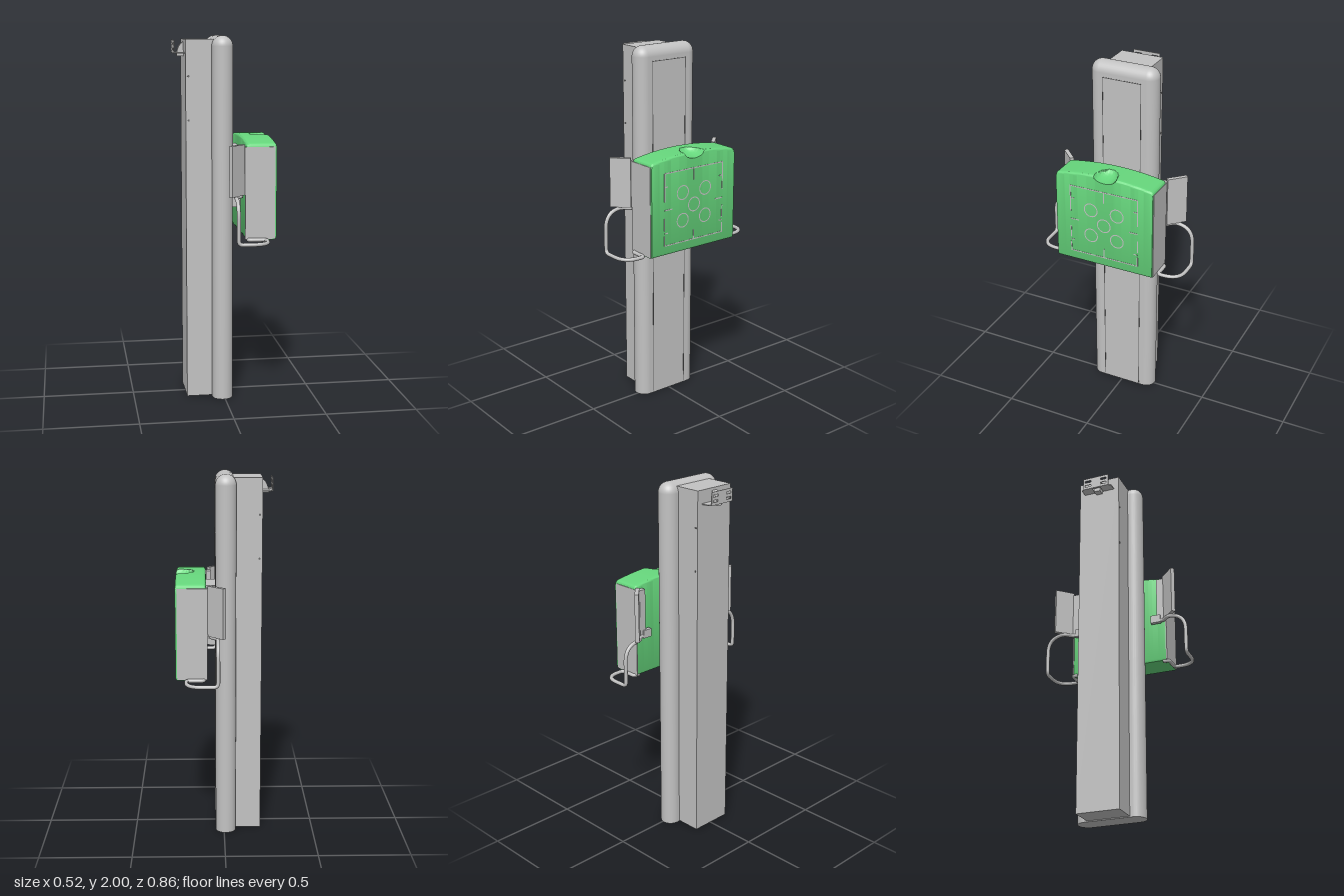
import * as THREE from 'three';
import { toCreasedNormals } from 'three/addons/utils/BufferGeometryUtils.js';

export function createModel() {
  const root = new THREE.Group();
  const mat = (name, color, side = THREE.FrontSide) => {
    const m = new THREE.MeshStandardMaterial({ color, side });
    m.name = name;
    return m;
  };
  const grey = mat('light grey', 0xc2c2c2);
  const sheet = grey;
  const green = mat('green', 0x66d67c);
  const dark = mat('dark grey', 0x666666);

  const add = (name, geo, material, x = 0, y = 0, z = 0) => {
    const m = new THREE.Mesh(geo, material);
    m.name = name;
    m.position.set(x, y, z);
    root.add(m);
    return m;
  };
  // box from its minimum and maximum corners
  const block = (name, material, x0, x1, y0, y1, z0, z1) =>
    add(name, new THREE.BoxGeometry(x1 - x0, y1 - y0, z1 - z0), material,
      (x0 + x1) / 2, (y0 + y1) / 2, (z0 + z1) / 2);

  // Column: rear box and a slab with fully rounded sides and top
  block('columnRear', grey, -0.205, -0.02, 0.005, 1.98, -0.12, 0.12);
  const R = 0.056, CX = -0.009, CZ = 0.135, CY = 2 - R;
  block('columnCore', grey, CX - R, CX + R, 0, CY, -CZ, CZ);
  for (const s of [-1, 1]) {
    add('columnSide', new THREE.CylinderGeometry(R, R, CY, 32), grey, CX, CY / 2, s * CZ);
    add('columnCorner', new THREE.SphereGeometry(R, 32, 20), grey, CX, CY, s * CZ);
  }
  add('columnTop', new THREE.CylinderGeometry(R, R, 2 * CZ, 32), grey, CX, CY, 0).rotation.x = Math.PI / 2;

  // Seams of the front cover and small screws on the rear box
  const fx = CX + R;
  for (const s of [-1, 1]) {
    block('coverSeam', dark, fx - 0.002, fx + 0.001, 0.01, 1.92, s * 0.11 - 0.002, s * 0.11 + 0.002);
    for (const y of [1.55, 1.785]) {
      add('screw', new THREE.CylinderGeometry(0.006, 0.006, 0.003, 12), dark, -0.19, y, s * 0.12).rotation.x = Math.PI / 2;
    }
  }
  block('coverSeamTop', dark, fx - 0.002, fx + 0.001, 1.918, 1.922, -0.11, 0.11);

  // Wall hook at the top of the rear box: shelf with opening, slotted plate, tongue
  const rect = (P, x0, x1, y0, y1) => {
    const p = new P();
    p.moveTo(x0, y0); p.lineTo(x1, y0); p.lineTo(x1, y1); p.lineTo(x0, y1); p.closePath();
    return p;
  };
  const shelf = new THREE.Shape();
  [[-0.2, -0.09], [-0.25, -0.09], [-0.256, -0.077], [-0.262, -0.077],
    [-0.262, 0.077], [-0.256, 0.077], [-0.25, 0.09], [-0.2, 0.09]]
    .forEach(([x, z], i) => (i ? shelf.lineTo(x, z) : shelf.moveTo(x, z)));
  shelf.holes.push(rect(THREE.Path, -0.25, -0.205, -0.024, 0.024));
  add('hookShelf', new THREE.ExtrudeGeometry(shelf, { depth: 0.005, bevelEnabled: false }), sheet, 0, 1.91, 0)
    .rotation.x = Math.PI / 2;
  const plate = rect(THREE.Shape, -0.077, 0.077, 1.905, 1.975);
  for (const s of [-1, 1]) {
    plate.holes.push(rect(THREE.Path, s * 0.048 - 0.018, s * 0.048 + 0.018, 1.92, 1.932));
    plate.holes.push(rect(THREE.Path, s * 0.048 - 0.018, s * 0.048 + 0.018, 1.948, 1.96));
  }
  add('hookPlate', new THREE.ExtrudeGeometry(plate, { depth: 0.004, bevelEnabled: false }), sheet, -0.262, 0, 0)
    .rotation.y = Math.PI / 2;
  const tongue = new THREE.Shape();
  tongue.moveTo(-0.2, 1.89);
  tongue.lineTo(-0.2, 1.968);
  tongue.quadraticCurveTo(-0.24, 1.95, -0.242, 1.89);
  add('hookTongue', new THREE.ExtrudeGeometry(tongue, { depth: 0.036, bevelEnabled: false, curveSegments: 10 }), grey, 0, 0, -0.018);

  // Carriage between column and head
  block('carriage', grey, 0.04, 0.08, 1.07, 1.4, -0.1, 0.1);
  block('carriagePlate', grey, 0.08, 0.1, 1.07, 1.4, -0.095, 0.095);

  // Head: cross-sections along z, with an arched top and a scoop at the front
  const X0 = 0.098, X1 = 0.262, HZ = 0.283, r = 0.015;
  const soften = (d, half) => {
    const t = Math.min(1, Math.max(0, Math.abs(d) - half + r) / r);
    return r * (1 - Math.sqrt(1 - t * t));
  };
  const topAt = (x, z) => {
    const arch = 1.436 + 0.027 * (1 - (z / HZ) ** 2);
    const q = ((x - X1) / 0.1) ** 2 + ((z + 0.004) / 0.064) ** 2;
    const scoop = q < 1 ? 0.036 * Math.sqrt(1 - q) : 0;
    return arch - Math.max(scoop, soften(x - (X0 + X1) / 2, (X1 - X0) / 2)) - soften(z, HZ);
  };
  const pos = [], idx = [], NZ = 100, NX = 40;
  let n = 0;
  for (let i = 0; i <= NZ; i++) {
    const z = -HZ * Math.cos(Math.PI * i / NZ) * 0.3 + 0.7 * HZ * (2 * i / NZ - 1);
    const loop = [[X0, 0.935], [X0 + 0.005, 0.924], [X0 + r, 0.92], [X1 - r, 0.92], [X1 - 0.005, 0.924], [X1, 0.935]];
    for (let k = 0; k <= NX; k++) {
      const x = (X0 + X1) / 2 + (X1 - X0) / 2 * Math.cos(Math.PI * k / NX);
      loop.push([x, topAt(x, z)]);
    }
    n = loop.length;
    loop.forEach(([x, y]) => pos.push(x, y, z));
  }
  for (let i = 0; i < NZ; i++) {
    for (let j = 0; j < n; j++) {
      const a = i * n + j, b = i * n + (j + 1) % n;
      idx.push(a, b, b + n, a, b + n, a + n);
    }
  }
  for (let j = 1; j < n - 1; j++) {
    idx.push(0, j + 1, j, NZ * n, NZ * n + j, NZ * n + j + 1);
  }
  const headGeo = new THREE.BufferGeometry();
  headGeo.setAttribute('position', new THREE.Float32BufferAttribute(pos, 3));
  headGeo.setIndex(idx);
  add('head', toCreasedNormals(headGeo, 0.6), green);

  // Grey side panels of the head
  for (const s of [-1, 1]) {
    block('headSidePanel', grey, 0.092, 0.253, 0.924, 1.42, s * HZ - 0.003, s * HZ + 0.003);
  }

  // Alignment marks on the front of the head
  const mark = (z0, z1, y0, y1) => block('alignmentMark', grey, X1 - 0.002, X1 + 0.001, y0, y1, z0, z1);
  const w = 0.003;
  for (const y of [0.976, 1.374]) mark(-0.2, 0.2, y - w, y + w);
  for (const s of [-1, 1]) {
    const z = s * 0.198;
    mark(z - w, z + w, 1.22, 1.374);
    mark(z - w, z + w, 1.06, 1.13);
    mark(z - w, z + w, 0.976, 1.03);
    const tick = (len, y) => mark(Math.min(z, z - s * len), Math.max(z, z - s * len), y - w, y + w);
    tick(0.05, 1.173);
    tick(0.022, 1.045);
    tick(0.022, 1.3);
  }
  mark(-w, w, 1.31, 1.374);
  mark(-w, w, 0.976, 1.03);
  for (const [z, y] of [[0, 1.173], [0.077, 1.251], [-0.077, 1.251], [0.077, 1.097], [-0.077, 1.097]]) {
    add('targetRing', new THREE.RingGeometry(0.035, 0.041, 32), grey, X1 + 0.001, y, z).rotation.y = Math.PI / 2;
  }

  // Handles and tilted side plates, one on each side
  const V = (x, y, z) => new THREE.Vector3(x, y, z);
  for (const s of [-1, 1]) {
    // each corner of the bar is rounded with its own radius
    const pts = [[0.072, 1.156, 0.22, 0], [0.072, 1.156, 0.28, 0.02], [0.036, 1.156, 0.31, 0.02],
      [0.036, 1.156, 0.418, 0.1], [0.036, 0.921, 0.418, 0.025], [0.205, 0.921, 0.418, 0.09],
      [0.205, 0.921, 0.293, 0.02], [0.11, 0.921, 0.293, 0.015], [0.11, 0.921, 0.26, 0]];
    const P = pts.map((p) => V(p[0], p[1], p[2] * s));
    const path = new THREE.CurvePath();
    let from = P[0];
    for (let i = 1; i < P.length - 1; i++) {
      const toward = (q) => P[i].clone().add(q.clone().sub(P[i]).setLength(pts[i][3]));
      const a = toward(P[i - 1]), b = toward(P[i + 1]);
      path.add(new THREE.LineCurve3(from, a));
      path.add(new THREE.QuadraticBezierCurve3(a, P[i].clone(), b));
      from = b;
    }
    path.add(new THREE.LineCurve3(from, P[P.length - 1]));
    add('handle', new THREE.TubeGeometry(path, 120, 0.0105, 12), grey);

    const wing = add('sidePlate', new THREE.BoxGeometry(0.112, 0.27, 0.022), grey, 0.042, 1.3, s * 0.322);
    wing.rotation.y = s * Math.PI / 4;
    const z = (a, b) => (s > 0 ? [a, b] : [-b, -a]);
    block('plateBracket', grey, 0.07, 0.094, 1.165, 1.42, ...z(0.238, 0.282));
    block('bracketArm', grey, 0.061, 0.084, 1.145, 1.19, ...z(0.203, 0.26));
  }
  return root;
}
